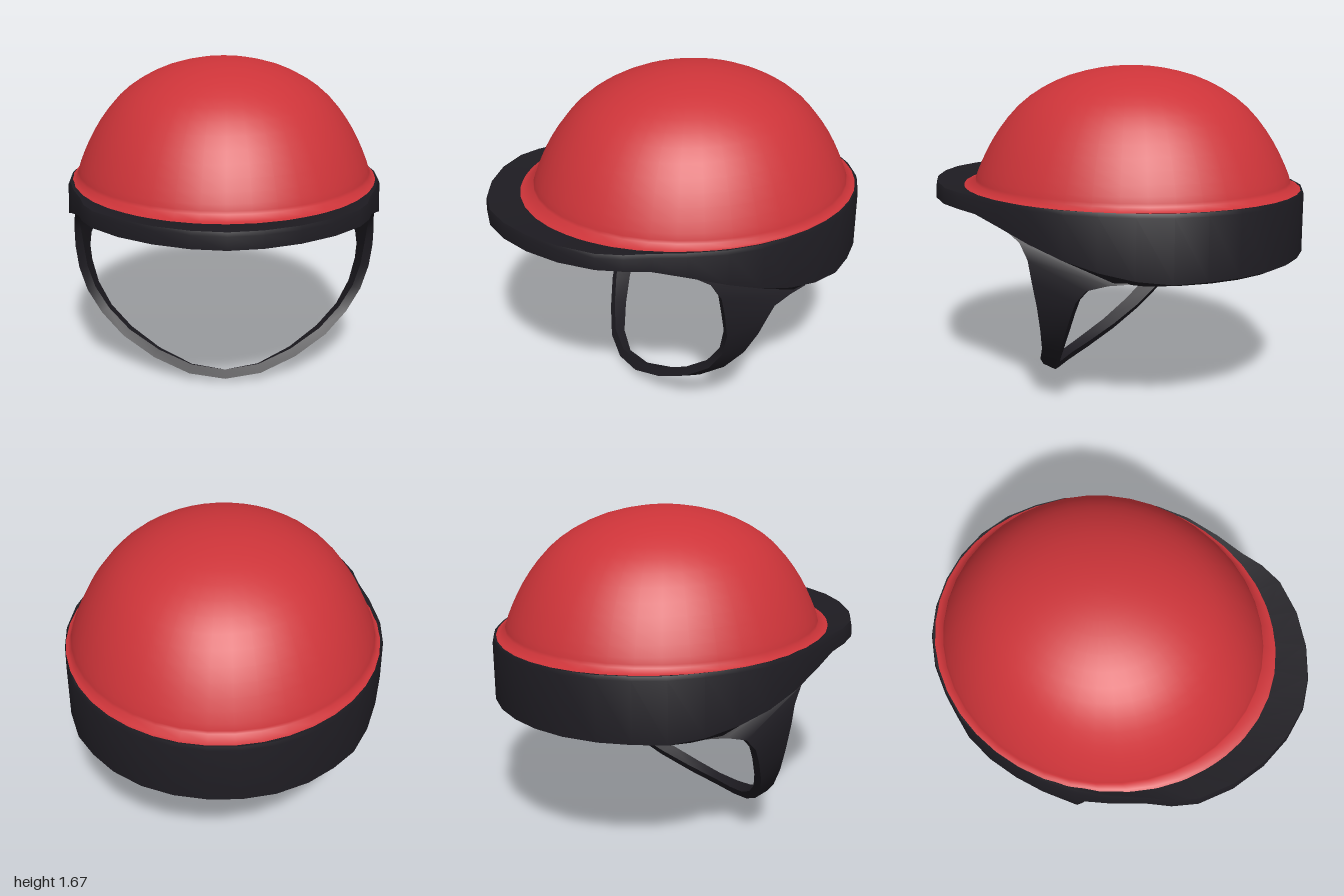
import * as THREE from 'three';
import { toCreasedNormals } from 'three/addons/utils/BufferGeometryUtils.js';

const red = new THREE.MeshStandardMaterial({ color: 0xcd3439, side: THREE.DoubleSide });
const black = new THREE.MeshStandardMaterial({ color: 0x1e1c22, side: THREE.DoubleSide });

// Skin between closed cross-section loops; closed joins the last loop to the first.
function loft(loops, closed) {
  const n = loops.length, m = loops[0].length, index = [];
  for (let i = 0; i < (closed ? n : n - 1); i++) {
    for (let j = 0; j < m; j++) {
      const i2 = (i + 1) % n, j2 = (j + 1) % m;
      const a = i * m + j, b = i2 * m + j, c = i * m + j2, d = i2 * m + j2;
      index.push(a, b, c, b, d, c);
    }
  }
  const geo = new THREE.BufferGeometry();
  geo.setAttribute('position', new THREE.Float32BufferAttribute(loops.flat(2), 3));
  geo.setIndex(index);
  return toCreasedNormals(geo, 0.6);
}

// Piecewise linear lookup in [key, value] pairs with rising keys.
function lookup(table, k) {
  if (k <= table[0][0]) return table[0][1];
  for (let i = 1; i < table.length; i++) {
    const [k0, v0] = table[i - 1], [k1, v1] = table[i];
    if (k <= k1) return v0 + (v1 - v0) * (k - k0) / (k1 - k0);
  }
  return table[table.length - 1][1];
}

function makeShell() {
  const curve = new THREE.SplineCurve([
    [0.785, 1.075], [0.772, 1.12], [0.724, 1.23], [0.658, 1.345], [0.565, 1.462],
    [0.45, 1.552], [0.31, 1.62], [0.16, 1.659], [0.05, 1.671], [0, 1.672],
  ].map(([r, y]) => new THREE.Vector2(r, y)));
  const profile = [new THREE.Vector2(0.812, 1.052), new THREE.Vector2(0.799, 1.056), ...curve.getPoints(18)];
  const geo = new THREE.LatheGeometry(profile, 40);
  // stretch front to back, a little more at the base flange
  const p = geo.attributes.position;
  for (let i = 0; i < p.count; i++) {
    const flange = p.getY(i) < 1.06;
    p.setZ(i, p.getZ(i) * (flange ? 1.11 : 1.07) - (flange ? 0.085 : 0.095));
  }
  return new THREE.Mesh(toCreasedNormals(geo, 1.2), red);
}

function makeBand() {
  // outer outline from the back round to the tip of the brim
  const half = [
    [0, -1], [0.16, -0.985], [0.32, -0.935], [0.47, -0.845], [0.59, -0.73], [0.69, -0.6],
    [0.76, -0.44], [0.805, -0.27], [0.832, -0.1], [0.825, 0.08], [0.78, 0.27], [0.725, 0.43],
    [0.695, 0.55], [0.635, 0.67], [0.5, 0.805], [0.335, 0.91], [0.165, 0.975], [0, 1],
  ];
  const outline = [...half, ...half.slice(1, -1).reverse().map(([x, z]) => [-x, z])];
  const bottom = [[-1, 0.73], [-0.6, 0.72], [-0.4, 0.74], [-0.2, 0.785], [0, 0.85], [0.2, 0.915],
    [0.4, 0.97], [0.6, 0.99]];
  const lip = [[-0.3, 0.7], [-0.1, 0.79], [0, 0.84], [0.2, 0.91], [0.4, 0.97], [0.6, 0.99]];
  const lipHeight = [[-0.1, 0.06], [0.5, 0.02]];
  const lipInset = [[0.2, 0.05], [0.6, 0.01]];
  const top = [[-0.1, 1.052], [0.4, 1.06], [0.8, 1.074]];
  const loops = outline.map(([x, z], k) => {
    const a = k / outline.length * Math.PI * 2;
    const oval = (inset, y) => [(0.8 - inset) * Math.sin(a), y, -(0.885 - inset) * Math.cos(a) - 0.085];
    const yTop = lookup(top, z), yLip = lookup(lip, z);
    const yLipTop = yLip + lookup(lipHeight, z), inset = lookup(lipInset, z);
    return [
      oval(0, 1.05),
      [x * 0.985, yTop, z * 0.994],
      [x * 0.995, yTop - 0.02, z],
      [x, lookup(bottom, z), z],
      oval(inset / 2, yLip),
      oval(inset, yLip),
      oval(inset, yLipTop),
      oval(0.005, yLipTop + 0.01),
    ];
  });
  return new THREE.Mesh(loft(loops, true), black);
}

function makeChinStrap() {
  // front edge x, y, z, back edge x, y, z and thickness, from the band down to the chin
  const half = [
    [0.77, 0.93, 0.25, 0.727, 0.71, -0.4, 0.01],
    [0.787, 0.87, 0.15, 0.757, 0.699, -0.3, 0.02],
    [0.798, 0.79, 0.1, 0.782, 0.67, -0.2, 0.035],
    [0.8, 0.69, 0.08, 0.795, 0.61, -0.15, 0.045],
    [0.788, 0.56, 0.06, 0.783, 0.53, -0.115, 0.045],
    [0.748, 0.43, 0.065, 0.743, 0.41, -0.06, 0.045],
    [0.67, 0.31, 0.1, 0.665, 0.29, 0.01, 0.045],
    [0.55, 0.205, 0.175, 0.545, 0.185, 0.09, 0.045],
    [0.38, 0.11, 0.25, 0.38, 0.09, 0.18, 0.045],
    [0.19, 0.045, 0.315, 0.19, 0.022, 0.26, 0.045],
    [0, 0.022, 0.335, 0, 0, 0.292, 0.045],
  ];
  const rows = [...half, ...half.slice(0, -1).reverse().map(
    ([a, b, c, d, e, f, t]) => [-a, b, c, -d, e, f, t])];
  // inner face: moved towards the middle of the opening
  const inward = ([x, y, z], t) => {
    const dy = Math.min(y - 0.7, 0), l = Math.hypot(x, dy);
    return [x - t * x / l, y - t * dy / l, z + 0.02 * dy / l];
  };
  const loops = rows.map((r) => {
    const front = r.slice(0, 3), back = r.slice(3, 6);
    return [front, back, inward(back, r[6]), inward(front, r[6])];
  });
  return new THREE.Mesh(loft(loops, false), black);
}

export function createModel() {
  const group = new THREE.Group();
  group.name = 'helmet';
  const parts = { domeShell: makeShell(), brimBand: makeBand(), chinStrap: makeChinStrap() };
  for (const [name, mesh] of Object.entries(parts)) {
    mesh.name = name;
    group.add(mesh);
  }
  return group;
}
